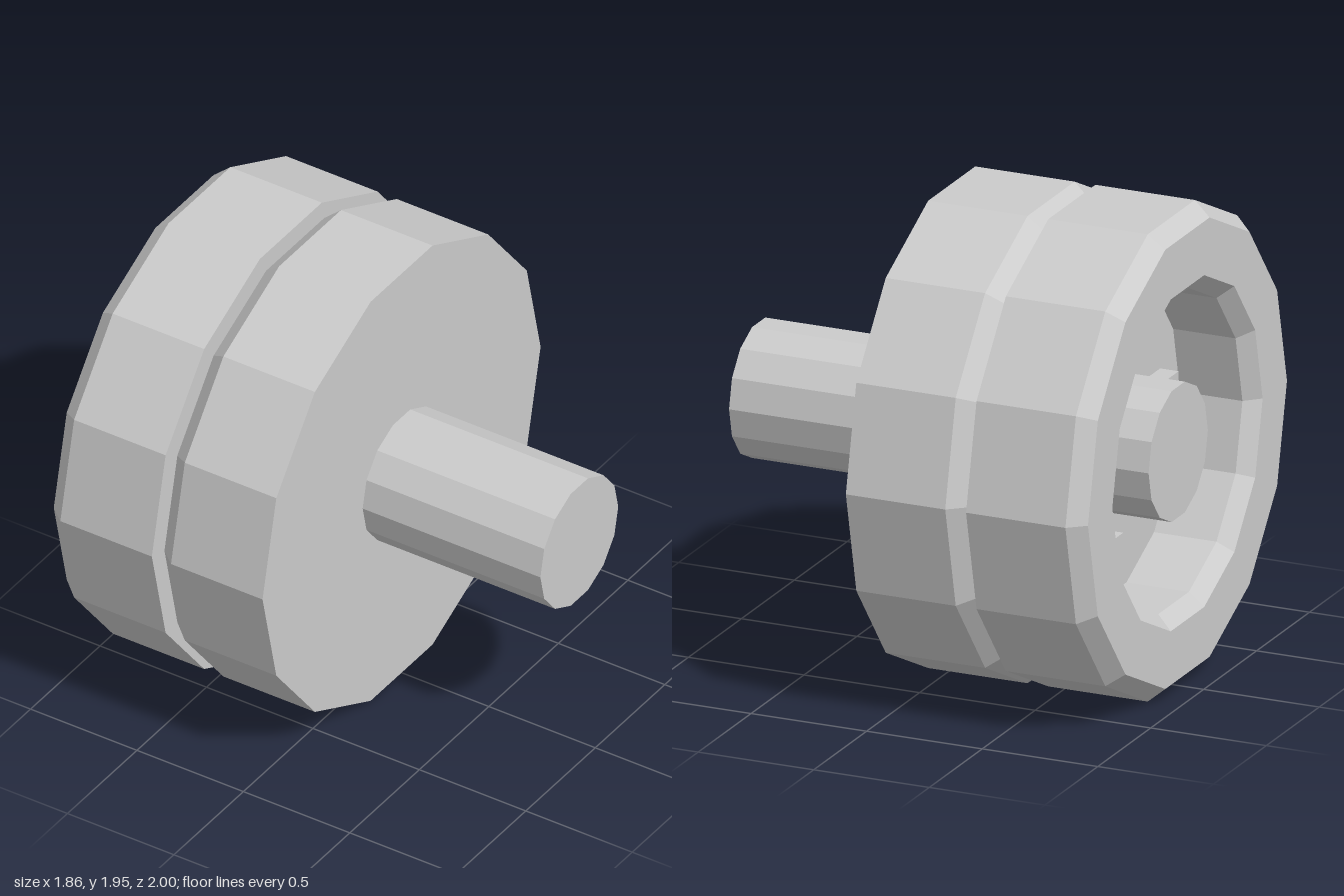
import * as THREE from 'three';

const SIDES = 14;
const RADIUS = 1;
const AXIS_Y = RADIUS * Math.cos(Math.PI / SIDES); // lowest flat rests on the ground

const material = new THREE.MeshStandardMaterial({ color: 0xcccccc, flatShading: true });

// One wheel: solid on the +x side, bevelled and dished on the -x side
function makeWheel(name, backX) {
  const wheel = new THREE.Group();
  wheel.name = name;

  // Profile as (radius, distance from the flat back)
  const profile = [
    [0, 0], [RADIUS, 0], [RADIUS, 0.43], [0.94, 0.5],
    [0.71, 0.5], [0.65, 0.44], [0.65, 0.17], [0, 0.17],
  ].map(([r, h]) => new THREE.Vector2(r, h));
  const tyre = new THREE.Mesh(new THREE.LatheGeometry(profile, SIDES), material);
  tyre.name = 'tyreAndRim';
  tyre.rotation.z = Math.PI / 2;
  wheel.add(tyre);

  // Ring of square lugs on the floor of the dish
  for (let i = 0; i < 6; i++) {
    const a = THREE.MathUtils.degToRad(14 + i * 60);
    const lug = new THREE.Mesh(new THREE.BoxGeometry(0.1, 0.11, 0.11), material);
    lug.name = 'lug';
    lug.position.set(-0.2, 0.42 * Math.sin(a), 0.42 * Math.cos(a));
    wheel.add(lug);
  }

  wheel.position.x = backX;
  return wheel;
}

export function createModel() {
  const model = new THREE.Group();
  model.name = 'dualWheelAxle';

  const assembly = new THREE.Group();
  assembly.name = 'wheelAssembly';
  assembly.position.y = AXIS_Y;
  model.add(assembly);

  assembly.add(makeWheel('outerWheel', -0.43), makeWheel('innerWheel', 0.09));

  // Axle through both wheels, ending just inside the outer dish
  const start = -0.89, end = 0.925;
  const axle = new THREE.Mesh(new THREE.CylinderGeometry(0.28, 0.28, end - start, SIDES), material);
  axle.name = 'axle';
  axle.rotation.z = Math.PI / 2;
  axle.position.x = (start + end) / 2;
  assembly.add(axle);

  return model;
}
